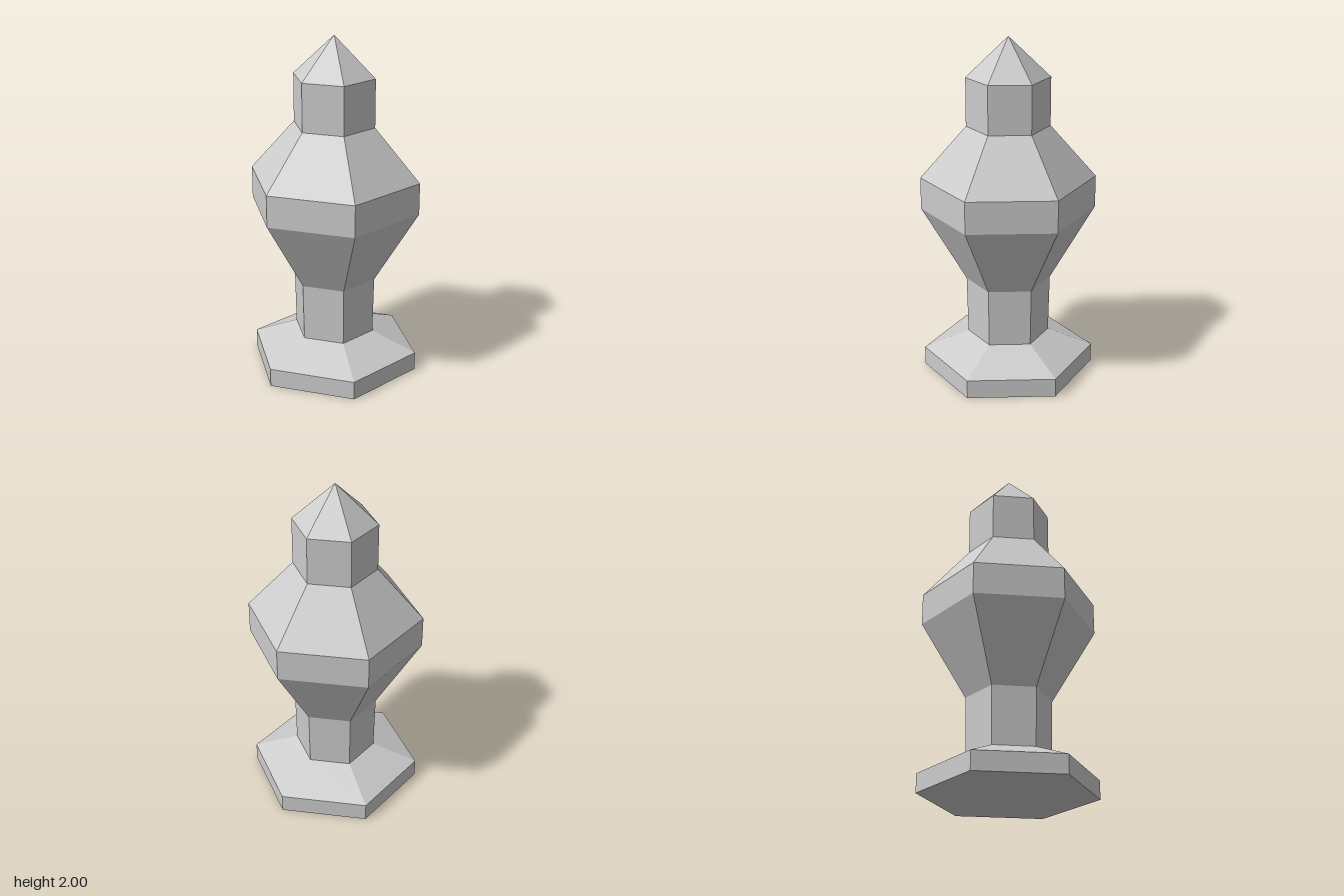
import * as THREE from 'three';

const material = new THREE.MeshStandardMaterial({ color: 0xcccccc, flatShading: true });

// Six-sided turned part from [radius, height] pairs, bottom to top, with corners on the x axis
function turned(name, profile) {
  const points = profile.map(([r, y]) => new THREE.Vector2(r, y));
  const mesh = new THREE.Mesh(new THREE.LatheGeometry(points, 6, Math.PI / 2), material);
  mesh.name = name;
  return mesh;
}

export function createModel() {
  const group = new THREE.Group();
  group.name = 'hexagonalFinial';
  group.add(
    // Closed foot with a sloping shoulder
    turned('base', [[0, 0], [0.505, 0], [0.505, 0.11], [0.24, 0.22]]),
    // Narrow stem
    turned('stem', [[0.24, 0.22], [0.247, 0.56]]),
    // Wide faceted body
    turned('body', [[0.247, 0.56], [0.505, 1.0], [0.505, 1.187], [0.24, 1.49]]),
    // Neck and pointed cap
    turned('neck', [[0.24, 1.49], [0.24, 1.77]]),
    turned('pointedCap', [[0.24, 1.77], [0, 2]]),
  );
  return group;
}
